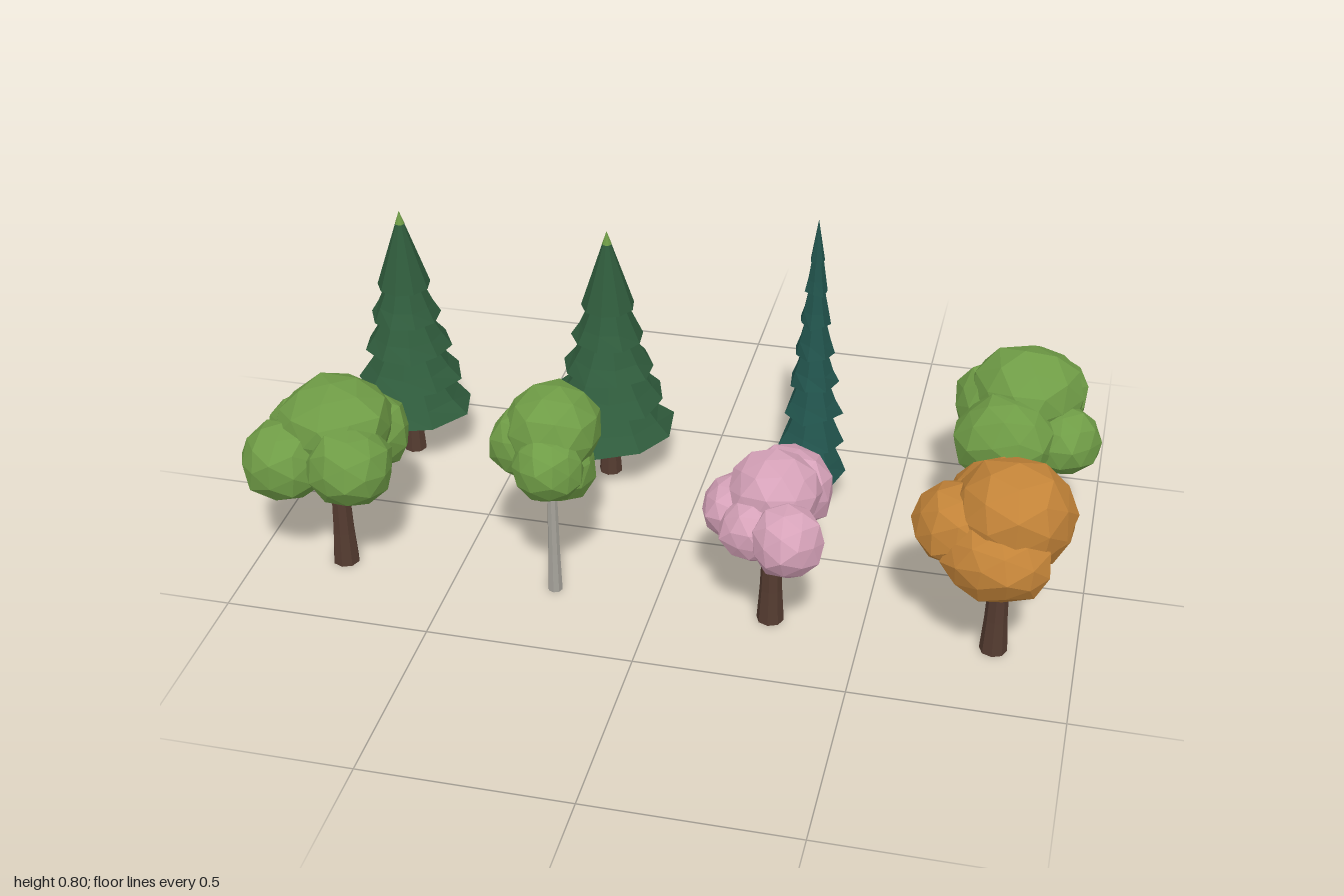
import * as THREE from 'three';

const mat = (name, color, side = THREE.FrontSide) => {
  const m = new THREE.MeshStandardMaterial({ color, flatShading: true, side });
  m.name = name;
  return m;
};

export function createModel() {
  const bark = mat('brown bark', 0x543b30);
  const paleBark = mat('pale bark', 0xa5a29a);
  const leaf = mat('leaf green', 0x6f9c46);
  const orange = mat('autumn orange', 0xc28338);
  const pink = mat('blossom pink', 0xd6a2b9);
  const pine = mat('pine green', 0x2f5b3c);
  const teal = mat('spruce teal', 0x21534c);

  const model = new THREE.Group();
  model.name = 'treeSet';

  const add = (parent, name, geometry, material, x = 0, y = 0, z = 0) => {
    const mesh = new THREE.Mesh(geometry, material);
    mesh.name = name;
    mesh.position.set(x, y, z);
    parent.add(mesh);
    return mesh;
  };

  const newTree = (name, x, z) => {
    const tree = new THREE.Group();
    tree.name = name;
    tree.position.set(x, 0, z);
    model.add(tree);
    return tree;
  };

  // tapered trunk with a slight flare at the foot
  const trunk = (tree, r0, r1, h, material) => {
    const profile = [[0, 0], [r0, 0], [r0 * 0.82, h * 0.3], [r1, h], [0, h]];
    add(tree, 'trunk', new THREE.LatheGeometry(profile.map(p => new THREE.Vector2(...p)), 8), material);
  };

  // straight limb from the trunk into the crown
  const branch = (tree, from, to, r, material) => {
    const a = new THREE.Vector3(...from), b = new THREE.Vector3(...to);
    const dir = b.clone().sub(a);
    const mesh = add(tree, 'branch', new THREE.CylinderGeometry(r * 0.6, r, dir.length(), 6), material);
    mesh.position.copy(a).add(b).multiplyScalar(0.5);
    mesh.quaternion.setFromUnitVectors(new THREE.Vector3(0, 1, 0), dir.normalize());
  };

  // lumpy low-poly ellipsoid
  const clump = (seed, rx, ry, rz) => {
    const g = new THREE.IcosahedronGeometry(1, 1);
    g.rotateY(seed * 1.3);
    g.rotateX(seed * 0.7);
    const p = g.attributes.position, v = new THREE.Vector3();
    for (let i = 0; i < p.count; i++) {
      v.fromBufferAttribute(p, i);
      const k = 1 + 0.05 * Math.sin(5 * v.x + seed) * Math.cos(4 * v.y - seed) + 0.03 * Math.sin(6 * v.z + 2 * seed);
      p.setXYZ(i, v.x * k * rx, v.y * k * ry, v.z * k * rz);
    }
    g.computeVertexNormals();
    return g;
  };

  // broadleaf tree: clumps are [x, y, z, rx, ry, rz] in model space
  const broadleaf = (name, x, z, material, clumps, pale = false) => {
    const tree = newTree(name, x, z);
    const wood = pale ? paleBark : bark;
    if (pale) trunk(tree, 0.018, 0.011, 0.36, wood);
    else {
      trunk(tree, 0.033, 0.02, 0.3, wood);
      branch(tree, [0, 0.19, 0], [0.07, 0.3, 0.04], 0.013, wood);
      branch(tree, [0, 0.2, 0], [-0.06, 0.3, -0.05], 0.013, wood);
    }
    clumps.forEach(([cx, cy, cz, rx, ry, rz], i) =>
      add(tree, 'foliage', clump(i * 1.7 + x * 5 + z, rx, ry, rz), material, cx - x, cy, cz - z));
  };

  // one skirt of needles: hollow below, jagged rim
  const skirt = (seed, sides, r, topR, h, jag) => {
    const profile = [[0.012, h * 0.45], [r, 0], [r * 0.78, h * 0.3], [topR, h]];
    const g = new THREE.LatheGeometry(profile.map(p => new THREE.Vector2(...p)), sides);
    const p = g.attributes.position;
    for (let i = 0; i < p.count; i++) {
      const s = Math.floor(i / 4) % sides;
      if (i % 4 !== 1) continue;
      const k = 1 + jag * Math.sin(s * 2.4 + seed * 1.9);
      p.setXYZ(i, p.getX(i) * k, p.getY(i) + jag * 0.06 * Math.cos(s * 3.1 + seed), p.getZ(i) * k);
    }
    g.computeVertexNormals();
    g.rotateY(seed * 0.9);
    return g;
  };

  // conifer: skirts stacked from y0 with shrinking radius, ending in a point at top
  const conifer = (name, x, z, { material, tiers, y0, step, r0, r1, top, sides, jag, tip }) => {
    const tree = newTree(name, x, z);
    trunk(tree, 0.03 * (tip ? 1 : 0.75), 0.016, y0 + 0.12, bark);
    for (let i = 0; i < tiers; i++) {
      const y = y0 + step * i;
      const r = THREE.MathUtils.lerp(r0, r1, i / (tiers - 1));
      const last = i === tiers - 1;
      if (last) {
        const h = top - y;
        const cut = tip ? 0.035 : 0;
        const tipR = r * cut / h;
        add(tree, 'crown', new THREE.CylinderGeometry(tipR, r, h - cut, sides), material, 0, y + (h - cut) / 2, 0);
        if (tip) add(tree, 'freshTip', new THREE.ConeGeometry(tipR * 1.05, cut, sides), leaf, 0, top - cut / 2, 0);
      } else {
        add(tree, 'skirt', skirt(i + x * 3, sides, r, r * 0.38, step * 1.35, jag), material, 0, y, 0);
      }
    }
  };

  // back row
  const pineShape = { material: pine, tiers: 5, y0: 0.14, step: 0.088, r1: 0.068, top: 0.7, sides: 9, jag: 0.04, tip: true };
  conifer('pineTree', -0.785, -0.265, { ...pineShape, r0: 0.158 });
  conifer('widePineTree', -0.25, -0.275, { ...pineShape, r0: 0.168 });
  conifer('spruceTree', 0.28, -0.26, {
    material: teal, tiers: 8, y0: 0.095, step: 0.085, r0: 0.096, r1: 0.018, top: 0.8, sides: 7, jag: 0.08, tip: false,
  });
  broadleaf('largeGreenTree', 0.81, -0.265, leaf, [
    [0.81, 0.385, -0.27, 0.14, 0.115, 0.14],
    [0.77, 0.33, -0.13, 0.125, 0.11, 0.105],
    [0.91, 0.31, -0.19, 0.09, 0.085, 0.1],
    [0.83, 0.33, -0.36, 0.13, 0.11, 0.11],
    [0.73, 0.34, -0.28, 0.1, 0.1, 0.11],
  ]);

  // front row
  broadleaf('greenTree', -0.785, 0.265, leaf, [
    [-0.79, 0.385, 0.24, 0.145, 0.11, 0.14],
    [-0.89, 0.32, 0.33, 0.105, 0.1, 0.105],
    [-0.72, 0.335, 0.34, 0.105, 0.1, 0.105],
    [-0.89, 0.31, 0.17, 0.105, 0.09, 0.1],
    [-0.73, 0.33, 0.17, 0.1, 0.1, 0.09],
  ]);
  broadleaf('birchTree', -0.25, 0.265, leaf, [
    [-0.25, 0.45, 0.25, 0.12, 0.11, 0.12],
    [-0.24, 0.37, 0.27, 0.1, 0.1, 0.1],
    [-0.315, 0.42, 0.27, 0.08, 0.085, 0.085],
    [-0.235, 0.4, 0.34, 0.085, 0.085, 0.08],
  ], true);
  broadleaf('blossomTree', 0.28, 0.265, pink, [
    [0.28, 0.355, 0.25, 0.11, 0.095, 0.11],
    [0.3, 0.32, 0.17, 0.11, 0.1, 0.1],
    [0.19, 0.3, 0.25, 0.08, 0.075, 0.09],
    [0.335, 0.305, 0.37, 0.085, 0.09, 0.09],
    [0.25, 0.3, 0.33, 0.085, 0.075, 0.08],
  ]);
  broadleaf('autumnTree', 0.81, 0.265, orange, [
    [0.83, 0.39, 0.26, 0.14, 0.12, 0.14],
    [0.79, 0.32, 0.14, 0.13, 0.105, 0.12],
    [0.71, 0.345, 0.27, 0.11, 0.095, 0.11],
    [0.81, 0.31, 0.35, 0.125, 0.095, 0.095],
    [0.87, 0.34, 0.22, 0.1, 0.1, 0.11],
  ]);

  return model;
}
